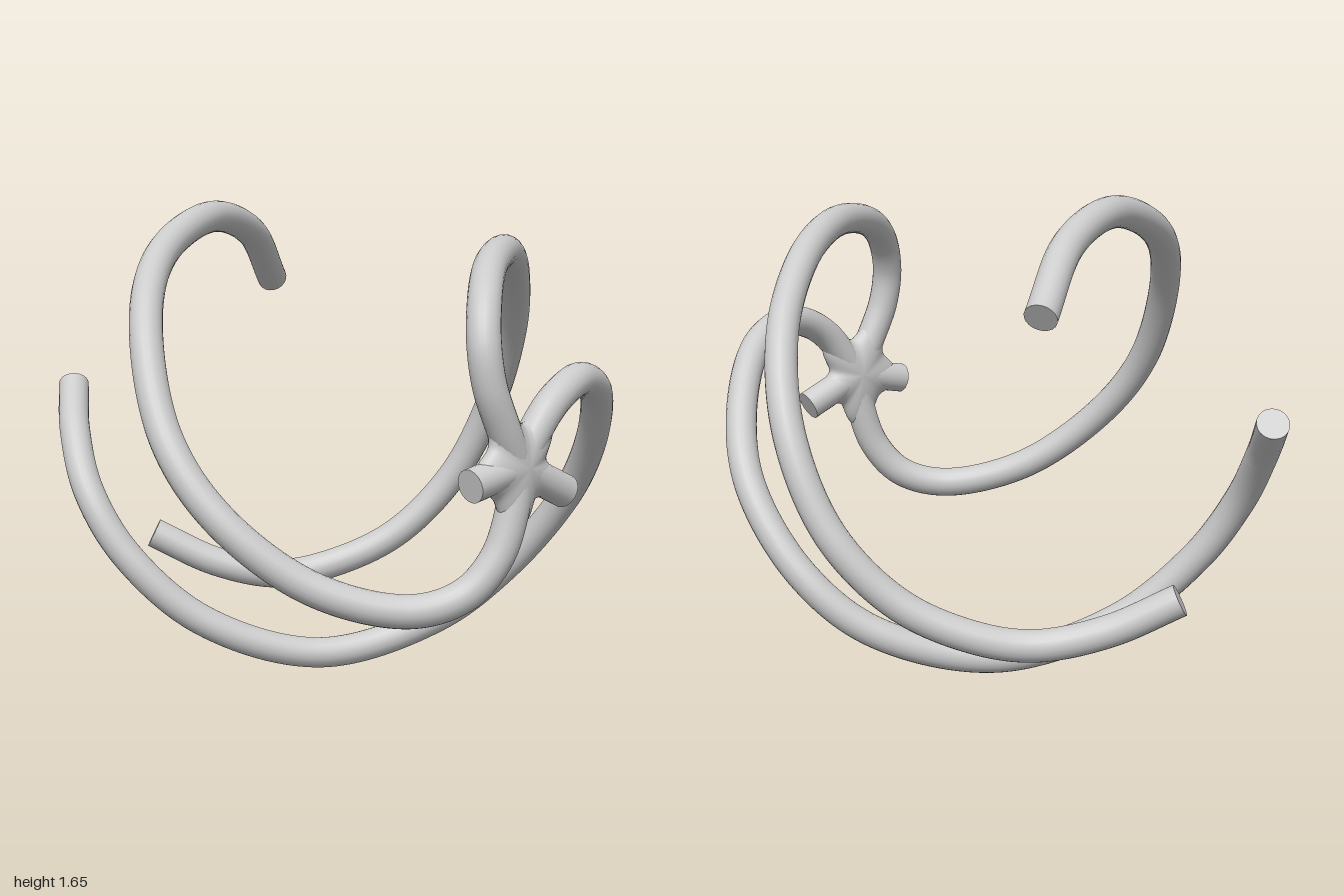
import * as THREE from 'three';

const R = 0.054;
const CENTRE = [0, 0.87, 0.938];
const material = new THREE.MeshStandardMaterial({ color: 0xcccccc });

// Round bar swept along a smooth curve, closed by a flat cap at its free end
function bar(name, points, segments) {
  const curve = new THREE.CatmullRomCurve3(
    [CENTRE, ...points].map((p) => new THREE.Vector3(...p)), false, 'centripetal');
  const group = new THREE.Group();
  group.name = name;
  const tube = new THREE.Mesh(new THREE.TubeGeometry(curve, segments, R, 20, false), material);
  tube.name = name + 'Tube';
  const cap = new THREE.Mesh(new THREE.CircleGeometry(R, 20), material);
  cap.name = name + 'Cap';
  const end = curve.getPoint(1);
  cap.position.copy(end);
  cap.lookAt(end.clone().add(curve.getTangent(1)));
  group.add(tube, cap);
  return group;
}

// Flattened star joint: radius swings between bar directions and the filleted valleys
function joint() {
  const stops = [[10, 0.115], [50, 0.2], [83, 0.135], [115, 0.2], [150, 0.135], [191, 0.18],
    [225, 0.135], [270, 0.2], [301, 0.13], [335, 0.18], [370, 0.115]];
  const outline = (deg) => {
    const a = deg < 10 ? deg + 360 : deg;
    const i = Math.max(1, stops.findIndex((s) => s[0] >= a));
    const [a0, r0] = stops[i - 1], [a1, r1] = stops[i];
    const t = (1 - Math.cos(Math.PI * (a - a0) / (a1 - a0))) / 2;
    return r0 + (r1 - r0) * t;
  };
  const geo = new THREE.SphereGeometry(1, 90, 20);
  geo.rotateX(Math.PI / 2);
  const pos = geo.attributes.position;
  for (let i = 0; i < pos.count; i++) {
    const x = pos.getX(i), y = pos.getY(i);
    const deg = (Math.atan2(y, x) * 180 / Math.PI + 360) % 360;
    const r = outline(deg);
    pos.setXYZ(i, x * r, y * r, pos.getZ(i) * (R + 0.003));
  }
  geo.computeVertexNormals();
  const mesh = new THREE.Mesh(geo, material);
  mesh.name = 'joint';
  mesh.position.set(...CENTRE);
  return mesh;
}

export function createModel() {
  const model = new THREE.Group();
  model.name = 'spiralArms';
  model.add(joint());

  // Three long arms winding from the front joint to the back
  model.add(bar('upperArm', [
    [-0.07, 1.0, 0.945], [-0.125, 1.13, 0.942], [-0.135, 1.26, 0.925], [-0.08, 1.385, 0.868],
    [0.055, 1.475, 0.75], [0.3, 1.508, 0.565], [0.55, 1.42, 0.355], [0.74, 1.21, 0.16],
    [0.82, 0.92, -0.02], [0.765, 0.62, -0.17], [0.6, 0.395, -0.31], [0.4, 0.282, -0.45],
    [0.23, 0.25, -0.555], [0.04, 0.3, -0.69], [-0.14, 0.41, -0.832]], 160));
  model.add(bar('sideArm', [
    [0.125, 1.03, 0.935], [0.22, 1.09, 0.918], [0.335, 1.113, 0.88], [0.5, 1.05, 0.795],
    [0.65, 0.85, 0.635], [0.712, 0.63, 0.46], [0.64, 0.36, 0.245], [0.455, 0.165, 0.08],
    [0.08, 0.056, -0.12], [-0.275, 0.185, -0.335], [-0.48, 0.42, -0.51],
    [-0.545, 0.635, -0.645], [-0.5, 0.83, -0.8], [-0.4, 0.98, -0.96]], 160));
  model.add(bar('lowerArm', [
    [-0.02, 0.73, 0.938], [-0.07, 0.585, 0.922], [-0.16, 0.475, 0.875], [-0.31, 0.43, 0.79],
    [-0.55, 0.505, 0.61], [-0.755, 0.715, 0.41], [-0.823, 0.95, 0.23], [-0.74, 1.29, 0.005],
    [-0.55, 1.49, -0.18], [-0.22, 1.602, -0.355], [0.085, 1.535, -0.52],
    [0.31, 1.35, -0.685]], 160));

  // Two short stubs
  model.add(bar('rightStub', [[-0.2, 0.83, 0.94]], 6));
  model.add(bar('leftStub', [[0.21, 0.77, 0.94]], 6));
  return model;
}
